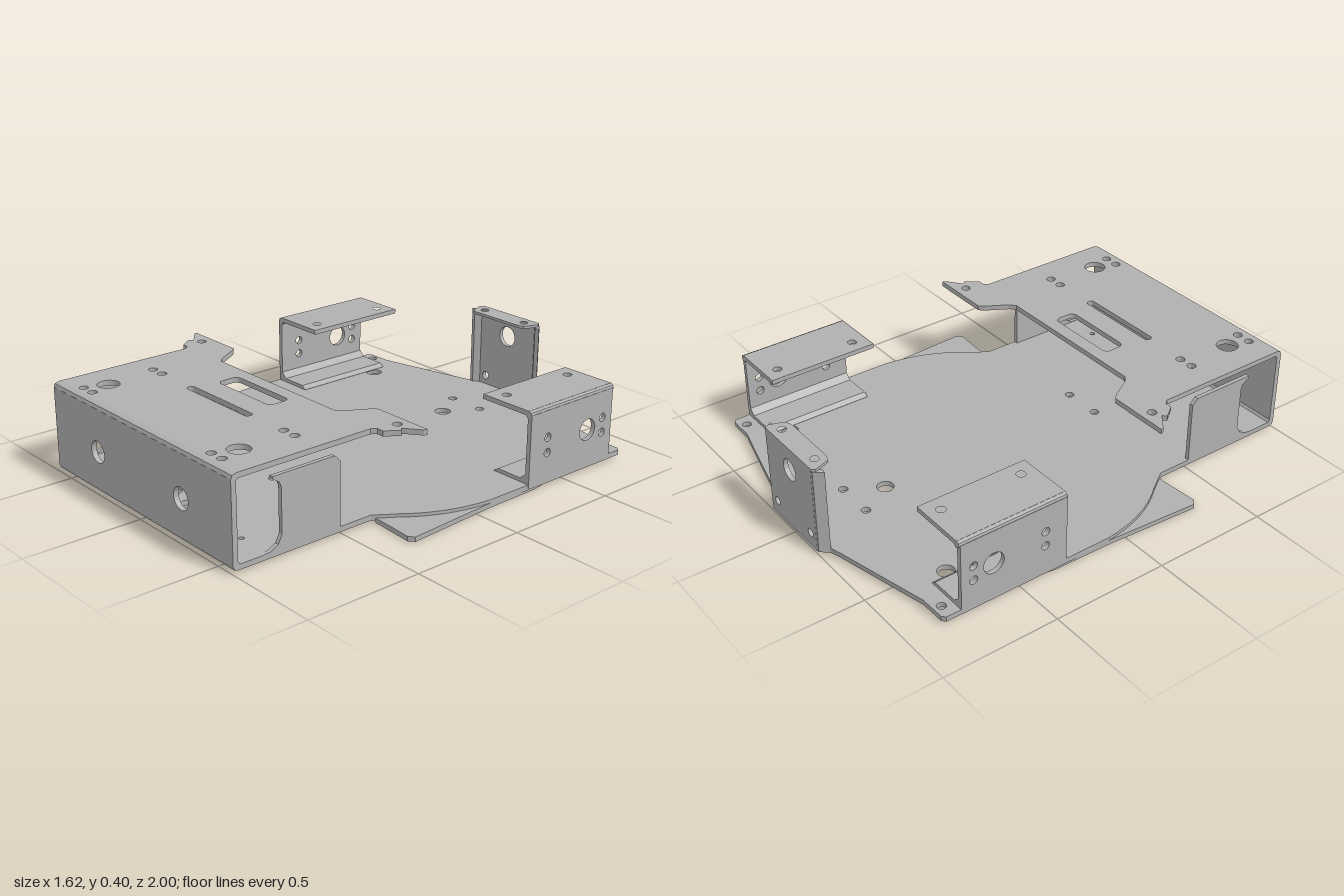
import * as THREE from 'three';

const metal = new THREE.MeshStandardMaterial({ color: 0xb0b0b0 });
metal.name = 'greySteel';

// Closed outline with round holes [x, y, r] and any extra cut-out paths.
function outline(pts, holes = [], cuts = []) {
  const shape = new THREE.Shape(pts.map(([x, y]) => new THREE.Vector2(x, y)));
  for (const [x, y, r] of holes) shape.holes.push(new THREE.Path().absarc(x, y, r, 0, Math.PI * 2, true));
  shape.holes.push(...cuts);
  return shape;
}

// Rounded slot cut-out.
function slot(x0, x1, y0, y1, r) {
  const p = new THREE.Path();
  p.absarc(x1 - r, y1 - r, r, Math.PI / 2, 0, true);
  p.absarc(x1 - r, y0 + r, r, 0, -Math.PI / 2, true);
  p.absarc(x0 + r, y0 + r, r, -Math.PI / 2, -Math.PI, true);
  p.absarc(x0 + r, y1 - r, r, Math.PI, Math.PI / 2, true);
  p.closePath();
  return p;
}

const extrude = (shape, depth) =>
  new THREE.ExtrudeGeometry(shape, { depth, bevelEnabled: false, curveSegments: 12 });

function add(parent, name, geometry) {
  const mesh = new THREE.Mesh(geometry, metal);
  mesh.name = name;
  parent.add(mesh);
  return mesh;
}

// Horizontal sheet drawn in (x, z), below the given top height.
const sheet = (shape, top, t) => extrude(shape, t).rotateX(Math.PI / 2).translate(0, top, 0);
// Side sheet drawn in (z, y), running from x1 towards -x by t.
const sideSheet = (shape, x1, t) => extrude(shape, t).rotateY(-Math.PI / 2).translate(x1, 0, 0);
// Upright sheet drawn in (x, y), starting at z0.
const frontSheet = (shape, z0, t) => extrude(shape, t).translate(0, 0, z0);

const bothSides = (list) => list.flatMap(([x, ...rest]) => [[x, ...rest], [-x, ...rest]]);
const mirrored = (half) => [...half, ...half.map(([x, z]) => [-x, z]).reverse()];
const flip = (pts, s) => pts.map(([x, z]) => [x * s, z]);

export function createModel() {
  const model = new THREE.Group();
  model.name = 'sheetMetalChassis';

  // Floor plate, with curved shoulders narrowing to the front tray
  const shoulder = new THREE.QuadraticBezierCurve(
    new THREE.Vector2(0.785, -0.08), new THREE.Vector2(0.765, 0.13), new THREE.Vector2(0.65, 0.27))
    .getPoints(10).map((p) => [p.x, p.y]);
  const floorHalf = [
    [0.2, -0.965], [0.25, -0.95], [0.6, -0.865], [0.66, -0.85], [0.77, -0.848], [0.785, -0.835],
    ...shoulder, [0.6, 0.345], [0.59, 0.36], [0.59, 0.975],
  ];
  add(model, 'floorPlate', sheet(outline(mirrored(floorHalf), [
    [0, -0.585, 0.035],
    ...bothSides([[0.085, -0.73, 0.019], [0.725, -0.815, 0.019], [0.575, -0.69, 0.035],
      [0.085, 0.43, 0.019], [0.1, 0.82, 0.07], [0.43, 0.845, 0.011]]),
  ]), 0.034, 0.022));

  // Upper deck with rear ears, slots and screw holes
  const deckHalf = [
    [0.36, 0.345], [0.385, 0.325], [0.44, 0.23], [0.46, 0.21], [0.73, 0.21], [0.725, 0.225],
    [0.66, 0.275], [0.675, 0.29], [0.635, 0.345], [0.605, 0.345], [0.59, 0.365], [0.59, 0.975],
  ];
  add(model, 'upperDeck', sheet(outline(mirrored(deckHalf),
    bothSides([[0.46, 0.615, 0.019], [0.395, 0.615, 0.019], [0.46, 0.94, 0.019], [0.395, 0.94, 0.019],
      [0.43, 0.845, 0.046], [0.62, 0.26, 0.019]]),
    [slot(-0.17, 0.165, 0.405, 0.502, 0.025), slot(-0.2, 0.2, 0.603, 0.637, 0.015)]), 0.385, 0.022));

  // Front panel and its two folded edges
  add(model, 'frontPanel', frontSheet(outline(
    [[-0.59, 0.03], [0.59, 0.03], [0.59, 0.365], [-0.59, 0.365]],
    bothSides([[0.28, 0.185, 0.046]])), 0.978, 0.022));
  add(model, 'frontTopFold', sideSheet(outline(
    [[0.97, 0.363], [0.978, 0.355], [1, 0.363], [0.994, 0.379], [0.975, 0.385], [0.97, 0.385]]), 0.59, 1.18));
  add(model, 'frontBottomFold', sideSheet(outline(
    [[0.97, 0.012], [0.978, 0.012], [0.994, 0.017], [1, 0.032], [0.978, 0.045], [0.97, 0.034]]), 0.59, 1.18));

  // Rear tab: wall, slanted side returns and top lip
  const tab = new THREE.Group();
  tab.name = 'rearTab';
  model.add(tab);
  add(tab, 'rearWall', frontSheet(outline(
    [[-0.165, 0.012], [0.165, 0.012], [0.165, 0.39], [-0.165, 0.39]],
    [[0, 0.295, 0.046], ...bothSides([[0.125, 0.075, 0.018]])]), -1, 0.02));
  add(tab, 'rearFloorFold', sheet(outline(
    [[-0.165, -0.998], [0.165, -0.998], [0.2, -0.96], [-0.2, -0.96]]), 0.034, 0.022));
  for (const s of [1, -1]) {
    add(tab, 'rearReturn', sheet(outline(flip(
      [[0.16, -1], [0.175, -0.998], [0.205, -0.962], [0.185, -0.957], [0.16, -0.982]], s)), 0.385, 0.373));
  }
  add(tab, 'rearLip', sheet(outline(mirrored(
    [[0.13, -0.908], [0.155, -0.917], [0.165, -0.94], [0.18, -0.985], [0.17, -1]]),
  bothSides([[0.12, -0.955, 0.018]])), 0.396, 0.012));

  for (const s of [1, -1]) {
    const side = s > 0 ? 'left' : 'right';

    // Upturned tray wall between floor and deck
    add(model, side + 'TrayWall', sideSheet(outline([
      [0.51, 0.014], [0.87, 0.014], [0.87, 0.034], [0.835, 0.037], [0.8, 0.055], [0.782, 0.09],
      [0.782, 0.275], [0.79, 0.295], [0.82, 0.315], [0.82, 0.325], [0.535, 0.325], [0.51, 0.3],
    ]), s > 0 ? 0.59 : -0.572, 0.018));

    // Wing plate under the shoulder
    add(model, side + 'Wing', sheet(outline(flip([
      [0.6, 0.345], [0.63, 0.345], [0.79, 0.357], [0.812, 0.338], [0.785, -0.08],
      [0.78, -0.34], [0.74, -0.52], [0.72, -0.48],
    ], s)), 0.02, 0.02));

    // Channel bracket: outer wall, top shelf, floor flange and folds
    const bracket = new THREE.Group();
    bracket.name = side + 'Bracket';
    model.add(bracket);
    const wallHoles = [[-0.625, 0.18, 0.046]];
    for (const z of [-0.39, -0.715]) for (const y of [0.145, 0.21]) wallHoles.push([z, y, 0.018]);
    add(bracket, 'bracketWall', sideSheet(outline(
      [[-0.77, 0.02], [-0.29, 0.02], [-0.29, 0.325], [-0.77, 0.325]], wallHoles),
    s > 0 ? 0.787 : -0.767, 0.02));
    add(bracket, 'bracketShelf', sheet(outline(flip(
      [[0.525, -0.775], [0.77, -0.775], [0.77, -0.29], [0.525, -0.29]], s),
    [[s * 0.59, -0.715, 0.019], [s * 0.59, -0.355, 0.019]]), 0.34, 0.02));
    add(bracket, 'bracketTopFold', frontSheet(outline(flip(
      [[0.755, 0.32], [0.767, 0.308], [0.787, 0.32], [0.782, 0.334], [0.768, 0.34], [0.755, 0.34]], s)),
    -0.775, 0.485));
    add(bracket, 'bracketFlange', frontSheet(outline(flip(
      [[0.6, 0.03], [0.775, 0.03], [0.775, 0.075], [0.767, 0.075], [0.742, 0.05], [0.62, 0.05], [0.6, 0.035]], s)),
    -0.77, 0.48));
  }
  return model;
}
